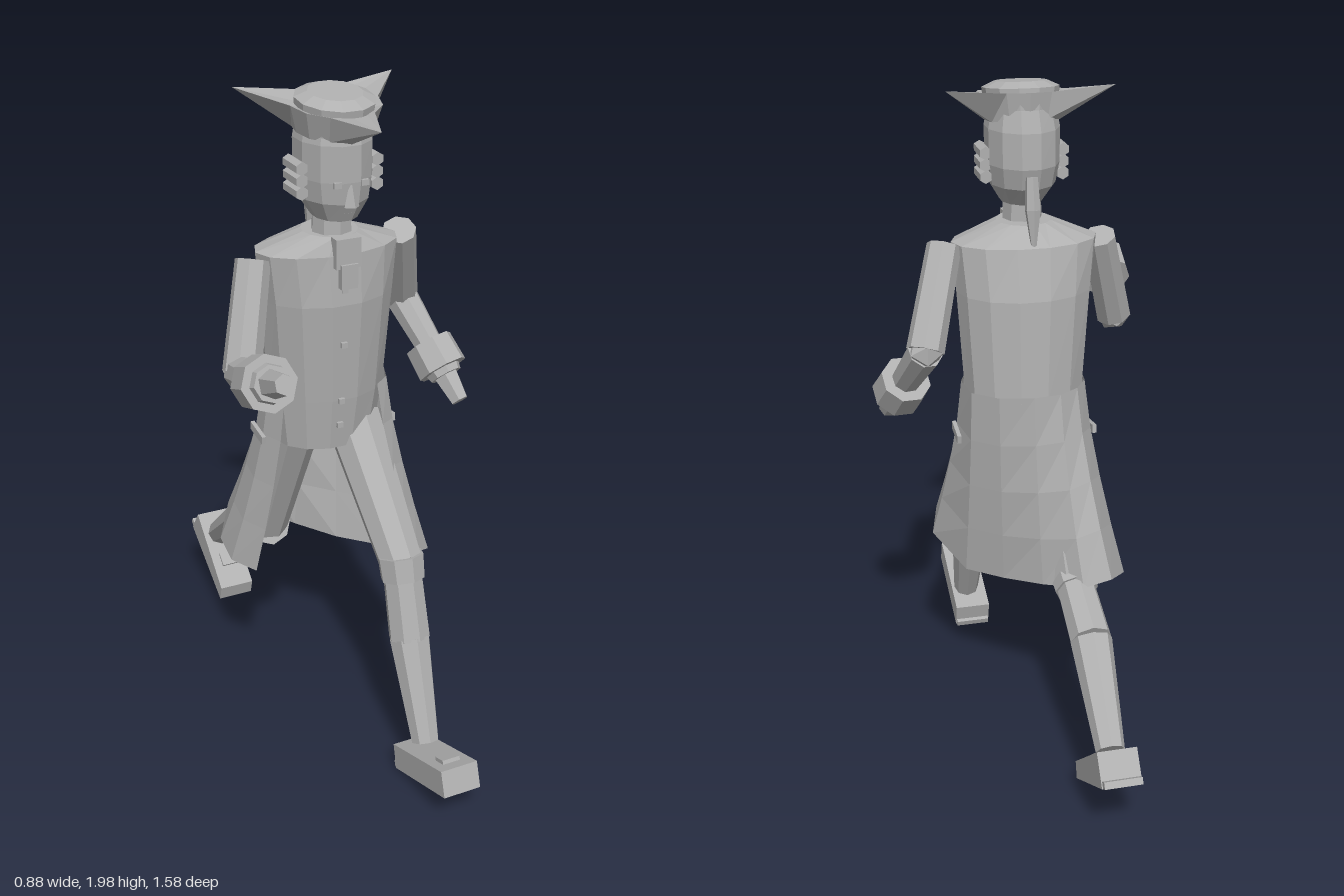
import * as THREE from 'three';

const grey = new THREE.MeshStandardMaterial({ color: 0xb0b0b0, flatShading: true, side: THREE.DoubleSide });
const V = (a) => new THREE.Vector3(...a);

function add(parent, name, geo) {
  const m = new THREE.Mesh(geo, grey);
  m.name = name;
  parent.add(m);
  return m;
}

// Skin a list of point rings, listed from top to bottom
function loft(rings, closed = true) {
  const n = rings[0].length, pos = [], idx = [];
  rings.forEach((r) => r.forEach((p) => pos.push(...p)));
  for (let i = 0; i < rings.length - 1; i++) {
    for (let j = 0; j < (closed ? n : n - 1); j++) {
      const a = i * n + j, b = i * n + (j + 1) % n;
      idx.push(a, b, a + n, b, b + n, a + n);
    }
  }
  if (closed) {
    const l = (rings.length - 1) * n;
    for (let j = 1; j < n - 1; j++) idx.push(0, j + 1, j, l, l + j, l + j + 1);
  }
  const g = new THREE.BufferGeometry();
  g.setAttribute('position', new THREE.Float32BufferAttribute(pos, 3));
  g.setIndex(idx);
  const flat = g.toNonIndexed();
  flat.computeVertexNormals();
  return flat;
}

// Elliptical ring: centre x, height, centre z, radii
function oval([cx, y, cz, rx, rz], n = 12) {
  return Array.from({ length: n }, (_, i) => {
    const a = ((i + 0.5) / n) * Math.PI * 2;
    return [cx + rx * Math.sin(a), y, cz + rz * Math.cos(a)];
  });
}

// Tapered faceted segment from point a to point b
function limb(parent, name, a, b, ra, rb, sides = 8) {
  const A = V(a), B = V(b), d = B.clone().sub(A);
  const m = add(parent, name, new THREE.CylinderGeometry(rb, ra, d.length(), sides));
  m.position.copy(A).add(B).multiplyScalar(0.5);
  m.quaternion.setFromUnitVectors(new THREE.Vector3(0, 1, 0), d.normalize());
  return m;
}

function box(parent, name, size, at) {
  const m = add(parent, name, new THREE.BoxGeometry(...size));
  m.position.set(...at);
  return m;
}

function buildArm(root, side, shoulder, elbow, wrist, tip) {
  const g = new THREE.Group();
  g.name = side + 'Arm';
  root.add(g);
  const at = (t) => V(wrist).lerp(V(tip), t).toArray();
  limb(g, 'upperArm', shoulder, elbow, 0.05, 0.055);
  const joint = add(g, 'elbow', new THREE.IcosahedronGeometry(0.053, 0));
  joint.position.set(...elbow);
  limb(g, 'forearm', elbow, wrist, 0.052, 0.042);
  limb(g, 'cuff', at(-0.15), at(0.38), 0.075, 0.078);
  limb(g, 'cuffRim', at(0.38), at(0.5), 0.055, 0.05);
  limb(g, 'hand', at(0.4), at(1), 0.042, 0.028, 6);
}

function buildLeg(root, side, hip, knee, calf, ankle, sole, x, buckle) {
  const g = new THREE.Group();
  g.name = side + 'Leg';
  root.add(g);
  limb(g, 'thigh', hip, knee, 0.085, 0.065);
  const mid = V(knee).lerp(V(calf), 0.2).toArray();
  limb(g, 'kneeBand', V(knee).lerp(V(calf), -0.12).toArray(), mid, 0.07, 0.066);
  limb(g, 'upperShin', knee, calf, 0.058, 0.062);
  limb(g, 'lowerShin', calf, ankle, 0.062, 0.042);
  // Shoe outline is drawn as (z, y) and given width along x
  const shape = new THREE.Shape(sole.map((p) => new THREE.Vector2(...p)));
  const shoe = new THREE.ExtrudeGeometry(shape, { depth: 0.116, bevelEnabled: false });
  shoe.translate(0, 0, -0.058);
  shoe.rotateY(-Math.PI / 2);
  add(g, 'shoe', shoe).position.x = x;
  const [toeTop, toeLow, heelLow] = sole;
  const tilt = Math.atan2(heelLow[1] - toeLow[1], toeLow[0] - heelLow[0]);
  const heel = box(g, 'heel', [0.11, 0.02, 0.03], [x, heelLow[1] + 0.012, heelLow[0]]);
  heel.rotation.x = tilt;
  const clasp = box(g, 'buckle', [0.055, 0.012, 0.045], [x, buckle[1], buckle[0]]);
  clasp.rotation.x = Math.atan2(sole[3][1] - toeTop[1], toeTop[0] - sole[3][0]);
}

function buildHead(root) {
  const g = new THREE.Group();
  g.name = 'head';
  root.add(g);
  add(g, 'skull', loft([
    [-0.025, 1.92, 0.105, 0.095, 0.11], [-0.025, 1.86, 0.103, 0.107, 0.127],
    [-0.025, 1.76, 0.1, 0.106, 0.13], [-0.025, 1.7, 0.105, 0.096, 0.118],
    [-0.025, 1.645, 0.115, 0.062, 0.08],
  ].map((r) => oval(r))));
  limb(g, 'neck', [-0.025, 1.54, 0.1], [-0.025, 1.67, 0.1], 0.06, 0.056);
  limb(g, 'nose', [-0.025, 1.695, 0.228], [-0.025, 1.755, 0.222], 0.022, 0.006, 4);
  box(g, 'mouth', [0.04, 0.008, 0.01], [-0.025, 1.675, 0.2]);
  for (const s of [-1, 1]) {
    box(g, 'eye', [0.022, 0.016, 0.01], [-0.025 + s * 0.04, 1.757, 0.222]);
    // Stacked side curls
    for (let i = 0; i < 3; i++) {
      const x = -0.025 + s * 0.112, y = 1.725 + i * 0.034;
      limb(g, 'sideCurl', [x, y, 0.065], [x, y, 0.155], 0.019, 0.019, 6);
    }
  }
  limb(g, 'pigtail', [-0.025, 1.74, -0.02], [-0.025, 1.65, -0.035], 0.018, 0.023, 6);
  limb(g, 'pigtailEnd', [-0.025, 1.65, -0.035], [-0.025, 1.54, -0.05], 0.023, 0.007, 6);
}

function buildHat(root) {
  const g = new THREE.Group();
  g.name = 'hat';
  g.position.set(-0.025, 1.93, 0.115);
  g.rotation.x = 0.12;
  root.add(g);
  add(g, 'crown', loft([
    [0, 0.053, 0, 0.075, 0.08], [0, 0.037, 0, 0.11, 0.118], [0, -0.045, 0, 0.1, 0.115],
  ].map((r) => oval(r))));
  // Brim turned up to three points
  const star = (y, r, tipR, tipY) => Array.from({ length: 12 }, (_, i) => {
    const a = (i / 12) * Math.PI * 2, tip = i % 4 === 0;
    const q = tip ? tipR : r;
    return [q * Math.sin(a), tip ? tipY : y, q * Math.cos(a)];
  });
  add(g, 'brim', loft([
    star(0.015, 0.1, 0.1, 0.015), star(0.025, 0.128, 0.275, 0.04), star(-0.05, 0.108, 0.112, -0.055),
  ]));
}

function buildCoat(root) {
  const g = new THREE.Group();
  g.name = 'coat';
  root.add(g);
  add(g, 'torso', loft([
    [-0.025, 1.595, 0.085, 0.08, 0.085], [-0.022, 1.545, 0.06, 0.215, 0.125],
    [-0.018, 1.4, 0.045, 0.2, 0.15], [-0.012, 1.1, 0.022, 0.178, 0.148],
    [-0.015, 0.94, 0.025, 0.155, 0.125],
  ].map((r) => oval(r, 14))));
  // Open skirt swept by the stride: [waist x, waist z, hem x, hem y, hem z]
  const cols = [
    [0.10, 0.15, 0.14, 0.65, 0.345], [0.15, 0.11, 0.22, 0.60, 0.27], [0.172, 0.05, 0.25, 0.56, 0.17],
    [0.16, -0.05, 0.17, 0.495, 0.03], [0.09, -0.11, 0.07, 0.50, -0.06], [-0.01, -0.131, -0.03, 0.52, -0.16],
    [-0.09, -0.12, -0.13, 0.55, -0.26], [-0.15, -0.08, -0.21, 0.58, -0.28], [-0.188, -0.02, -0.285, 0.53, -0.16],
    [-0.195, 0.04, -0.285, 0.50, -0.07], [-0.17, 0.10, -0.23, 0.485, 0.0],
  ];
  const rings = [0, 0.25, 0.5, 0.75, 1].map((t) => cols.map(([wx, wz, hx, hy, hz]) => {
    const k = Math.pow(t, 1.35);
    return [wx + (hx - wx) * k, 1.12 + (hy - 1.12) * t, wz + (hz - wz) * k];
  }));
  add(g, 'skirt', loft(rings, false));
  box(g, 'pocketFlap', [0.012, 0.025, 0.09], [0.19, 0.96, 0.04]).rotation.x = -0.15;
  box(g, 'pocketFlap', [0.012, 0.025, 0.09], [-0.215, 0.96, 0.0]).rotation.x = 0.15;
  // Neckcloth and buttons
  box(g, 'neckcloth', [0.075, 0.085, 0.035], [-0.02, 1.555, 0.185]);
  box(g, 'neckclothTail', [0.05, 0.07, 0.02], [-0.02, 1.49, 0.2]);
  [[1.445, 0.186], [1.28, 0.185], [1.1, 0.17], [1.02, 0.16]].forEach(([y, z]) =>
    box(g, 'button', [0.018, 0.016, 0.014], [-0.025, y, z]));
}

export function createModel() {
  const root = new THREE.Group();
  root.name = 'runningFigure';
  buildHead(root);
  buildHat(root);
  buildCoat(root);
  buildArm(root, 'left', [0.215, 1.54, 0.045], [0.3, 1.28, -0.1], [0.345, 1.135, 0.035], [0.38, 1.01, 0.15]);
  buildArm(root, 'right', [-0.25, 1.53, 0.075], [-0.33, 1.25, 0.175], [-0.363, 1.315, 0.39], [-0.37, 1.385, 0.565]);
  buildLeg(root, 'left', [0.065, 0.98, 0.06], [0.078, 0.64, 0.365], [0.08, 0.42, 0.425], [0.075, 0.13, 0.55],
    [[0.765, 0.195], [0.79, 0.12], [0.5, 0.01], [0.48, 0.085]], 0.065, [0.7, 0.176]);
  buildLeg(root, 'right', [-0.1, 0.98, 0], [-0.122, 0.54, -0.17], [-0.122, 0.445, -0.38], [-0.108, 0.245, -0.645],
    [[-0.495, 0.11], [-0.51, 0.06], [-0.77, 0.215], [-0.71, 0.295]], -0.107, [-0.57, 0.177]);
  return root;
}
